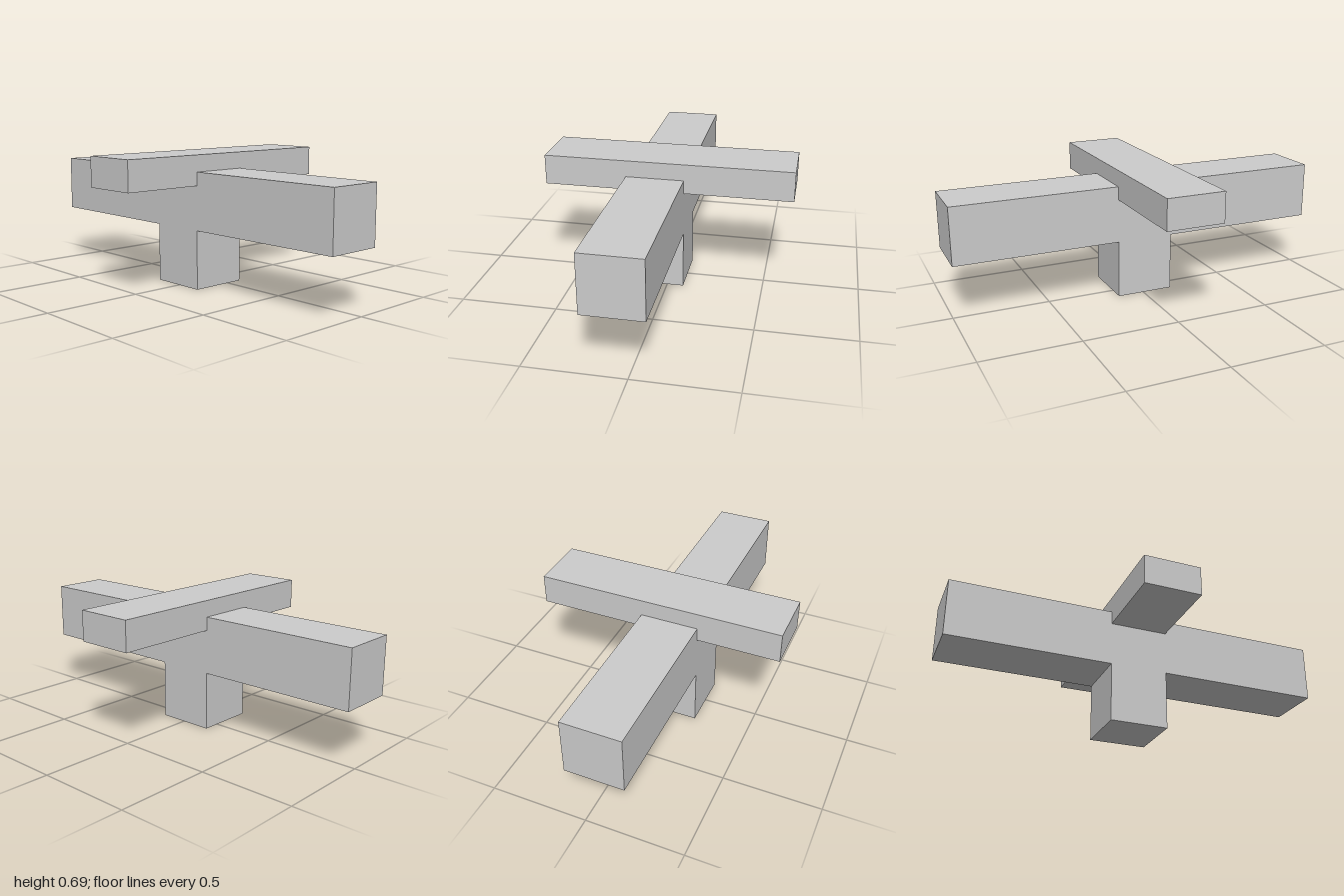
import * as THREE from 'three';

const material = new THREE.MeshStandardMaterial({ color: 0xcccccc, flatShading: true });

// Shared x range of the post and the top beam
const X0 = -0.16, X1 = 0.14;

export function createModel() {
  const model = new THREE.Group();
  model.name = 'crossedBeams';

  // T-shaped body: the wide crossbar and its post share front and back faces
  const outline = new THREE.Shape([
    [X0, 0], [X1, 0], [X1, 0.303], [1, 0.303],
    [1, 0.6], [-1, 0.6], [-1, 0.303], [X0, 0.303],
  ].map(([x, y]) => new THREE.Vector2(x, y)));
  const bodyGeometry = new THREE.ExtrudeGeometry(outline, { depth: 0.3, bevelEnabled: false });
  bodyGeometry.translate(0, 0, -0.086);
  const body = new THREE.Mesh(bodyGeometry, material);
  body.name = 'crossbarAndPost';
  model.add(body);

  // Thinner beam running front to back, let into the top of the crossbar
  const topBeam = new THREE.Mesh(new THREE.BoxGeometry(X1 - X0, 0.155, 1.28), material);
  topBeam.position.set((X0 + X1) / 2, 0.608, 0);
  topBeam.name = 'topBeam';
  model.add(topBeam);

  return model;
}
